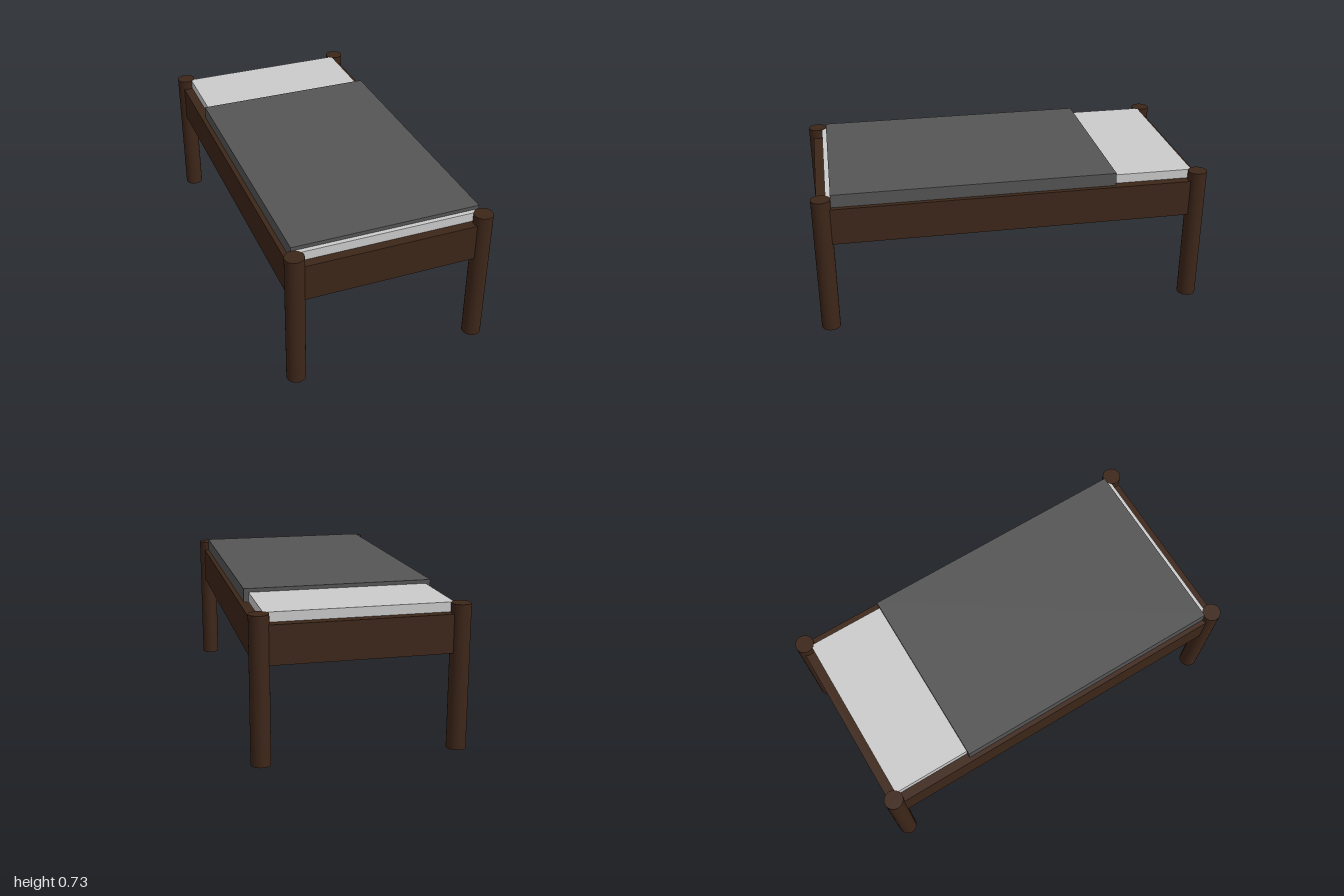
import * as THREE from 'three';

export function createModel() {
  const model = new THREE.Group();
  const wood = new THREE.MeshStandardMaterial({ color: 0x3d2619 });
  const sheet = new THREE.MeshStandardMaterial({ color: 0xcccccc });
  const cloth = new THREE.MeshStandardMaterial({ color: 0x555555 });

  const legR = 0.0476, legH = 0.715;
  const legX = 0.476, legZ = 1 - legR;
  const railT = 0.048, railBottom = 0.478, railTop = 0.667;

  const add = (name, geometry, material, x, y, z) => {
    const mesh = new THREE.Mesh(geometry, material);
    mesh.name = name;
    mesh.position.set(x, y, z);
    model.add(mesh);
  };
  // Box given by its width, bottom, top and z range
  const slab = (name, material, x, w, y0, y1, z0, z1) =>
    add(name, new THREE.BoxGeometry(w, y1 - y0, z1 - z0), material, x, (y0 + y1) / 2, (z0 + z1) / 2);

  // Round corner posts
  const legGeometry = new THREE.CylinderGeometry(legR, legR, legH, 32);
  for (const [sx, side] of [[1, 'Left'], [-1, 'Right']]) {
    for (const [sz, end] of [[1, 'front'], [-1, 'back']]) {
      add(`${end}${side}Leg`, legGeometry, wood, sx * legX, legH / 2, sz * legZ);
    }
  }

  // Frame rails, centred on the posts
  for (const s of [1, -1]) {
    slab(s > 0 ? 'leftRail' : 'rightRail', wood, s * legX, railT, railBottom, railTop, -legZ, legZ);
    slab(s > 0 ? 'frontRail' : 'backRail', wood, 0, 2 * legX, railBottom, railTop,
      s * legZ - railT / 2, s * legZ + railT / 2);
  }

  // Mattress inside the frame, blanket lapping onto the side rails
  const innerX = legX - railT / 2, innerZ = legZ - railT / 2;
  slab('mattress', sheet, 0, 2 * innerX, 0.525, 0.714, -innerZ, innerZ);
  slab('blanket', cloth, 0, 2 * legX, railTop, 0.733, -0.523, 0.905);

  return model;
}
